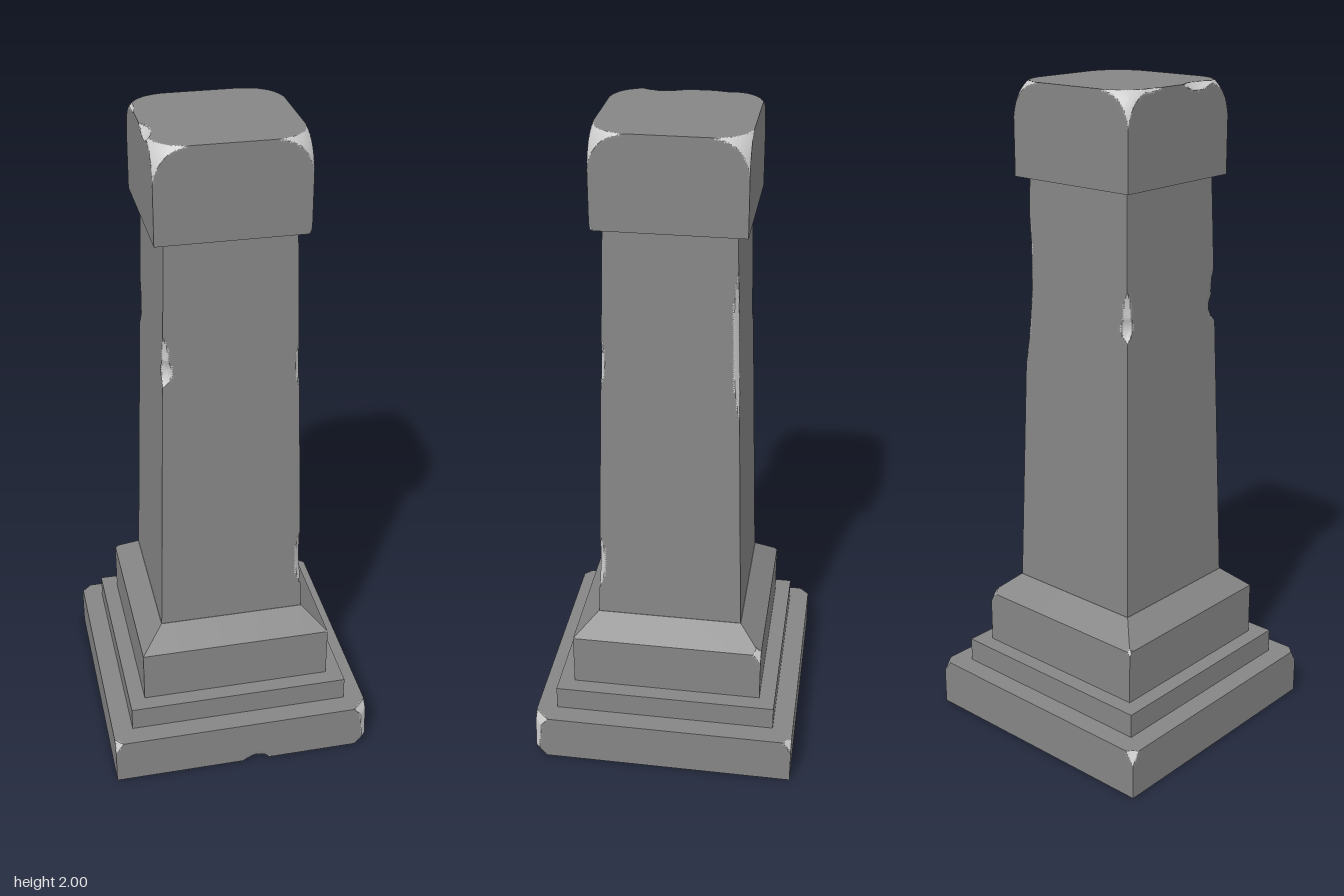
import * as THREE from 'three';
import { toCreasedNormals } from 'three/addons/utils/BufferGeometryUtils.js';

const stone = new THREE.MeshStandardMaterial({ color: 0x868686 });
const freshStone = new THREE.MeshStandardMaterial({ color: 0xd6d6d6 });
const V = (x, y, z) => new THREE.Vector3(x, y, z);

// Scoop: points inside a sphere outside the stone are pushed onto its surface.
const scoop = (c, r) => p => {
  const d = p.distanceTo(c);
  if (d < r) p.sub(c).multiplyScalar(r / Math.max(d, 1e-6)).add(c);
};

// Flat cut: takes a corner off along direction n, to the given depth.
const cornerCut = (corner, n, depth) => {
  n.normalize();
  const limit = corner.dot(n) - depth;
  return p => {
    const over = p.dot(n) - limit;
    if (over > 0) p.addScaledVector(n, -over);
  };
};

// Square block whose half width follows half(y); its points then pass through the wear rules.
// Triangles moved by the wear become a separate, lighter mesh of broken stone.
function wornBlock(name, y0, y1, half, segs, rows, edgeBias, wear) {
  const geo = new THREE.BoxGeometry(2, 1, 2, segs, rows, segs);
  const pos = geo.attributes.position, p = V(0, 0, 0), before = V(0, 0, 0);
  const moved = new THREE.BufferAttribute(new Float32Array(pos.count), 1);
  const spread = u => THREE.MathUtils.lerp(u, Math.sin(u * Math.PI / 2), edgeBias); // finer near edges
  for (let i = 0; i < pos.count; i++) {
    p.fromBufferAttribute(pos, i);
    const y = y0 + (p.y + 0.5) * (y1 - y0), h = half(y);
    p.set(spread(p.x) * h, y, spread(p.z) * h);
    before.copy(p);
    wear.forEach(rule => rule(p));
    moved.setX(i, p.distanceTo(before) > 1e-4 ? 1 : 0);
    pos.setXYZ(i, p.x, p.y, p.z);
  }
  geo.setAttribute('moved', moved);
  const creased = toCreasedNormals(geo, 0.45);
  const flags = creased.attributes.moved;
  creased.deleteAttribute('moved');

  const whole = [], broken = [];
  for (let i = 0; i < flags.count; i += 3) {
    const count = flags.getX(i) + flags.getX(i + 1) + flags.getX(i + 2);
    (count > 1 ? broken : whole).push(i, i + 1, i + 2);
  }
  const block = new THREE.Group();
  block.name = name;
  for (const [part, index, material] of [['Face', whole, stone], ['Chips', broken, freshStone]]) {
    const mesh = new THREE.Mesh(creased.clone().setIndex(index), material);
    mesh.name = name + part;
    block.add(mesh);
  }
  return block;
}

export function createModel() {
  const group = new THREE.Group();
  group.name = 'stonePillar';

  // Plinth with broken corners and a notch under the front edge
  const P = 0.408;
  group.add(wornBlock('plinth', 0, 0.15, () => P, 76, 20, 0.6, [
    cornerCut(V(P, 0.15, P), V(1, 0.1, 1), 0.018),
    cornerCut(V(P, 0, P), V(1, -0.8, 1), 0.022),
    cornerCut(V(P, 0.15, P), V(1, 0.8, 1), 0.027),
    cornerCut(V(P, 0.15, -P), V(1, 0.7, -1), 0.017),
    cornerCut(V(-P, 0.15, -P), V(-1, 0.7, -1), 0.018),
    cornerCut(V(-P, 0.15, P), V(-1, 0.6, 1), 0.016),
    scoop(V(0.045, -0.035, 0.433), 0.06),
  ]));

  // Thin step
  const step = new THREE.Mesh(new THREE.BoxGeometry(0.69, 0.075, 0.69), stone);
  step.position.y = 0.1875;
  step.name = 'step';
  group.add(step);

  // Base block with sloping shoulders
  const B = 0.296;
  const baseHalf = y => y <= 0.3921 ? B : THREE.MathUtils.mapLinear(y, 0.392, 0.456, B, 0.225);
  group.add(wornBlock('baseBlock', 0.224, 0.456, baseHalf, 36, 58, 1, [
    cornerCut(V(B, 0.392, -B), V(1, 0.7, -1), 0.014),
    cornerCut(V(-B, 0.392, -B), V(-1, 0.7, -1), 0.006),
    cornerCut(V(B, 0.392, B), V(1, 0.7, 1), 0.004),
  ]));

  // Tapered shaft with chips along its four edges
  const shaftHalf = y => THREE.MathUtils.mapLinear(y, 0.456, 1.727, 0.224, 0.187);
  const edgeChip = (sx, sz, y, r, depth) => {
    const e = shaftHalf(y) + (r - depth) / Math.SQRT2;
    return scoop(V(sx * e, y, sz * e), r);
  };
  group.add(wornBlock('shaft', 0.456, 1.727, shaftHalf, 28, 180, 1, [
    edgeChip(1, 1, 0.655, 0.4, 0.0125),
    edgeChip(1, 1, 1.33, 0.35, 0.007),
    edgeChip(-1, 1, 1.335, 0.06, 0.022),
    edgeChip(-1, 1, 1.385, 0.2, 0.011),
    edgeChip(-1, -1, 1.345, 0.06, 0.018),
    edgeChip(-1, -1, 1.39, 0.2, 0.011),
    edgeChip(1, -1, 1.48, 2.2, 0.0105),
  ]));

  // Cap: its top corners are worn round, and its left-hand top edge is chipped
  const C = 0.217, centre = V(0, 2 - C, 0);
  const limit = 2 * C ** 4 + 0.115 ** 4;
  const roundCorners = p => {
    p.sub(centre);
    const s = p.x ** 4 + p.y ** 4 + p.z ** 4;
    if (p.y > 0 && s > limit) p.multiplyScalar((limit / s) ** 0.25);
    p.add(centre);
  };
  group.add(wornBlock('cap', 1.727, 2, () => C, 56, 40, 0.5, [
    roundCorners,
    scoop(V(-0.307, 2.09, 0.08), 0.143),
    scoop(V(-0.4, 2.17, -0.13), 0.256),
    cornerCut(V(C, 1.727, C), V(1, -0.5, 1), 0.006),
  ]));

  return group;
}
